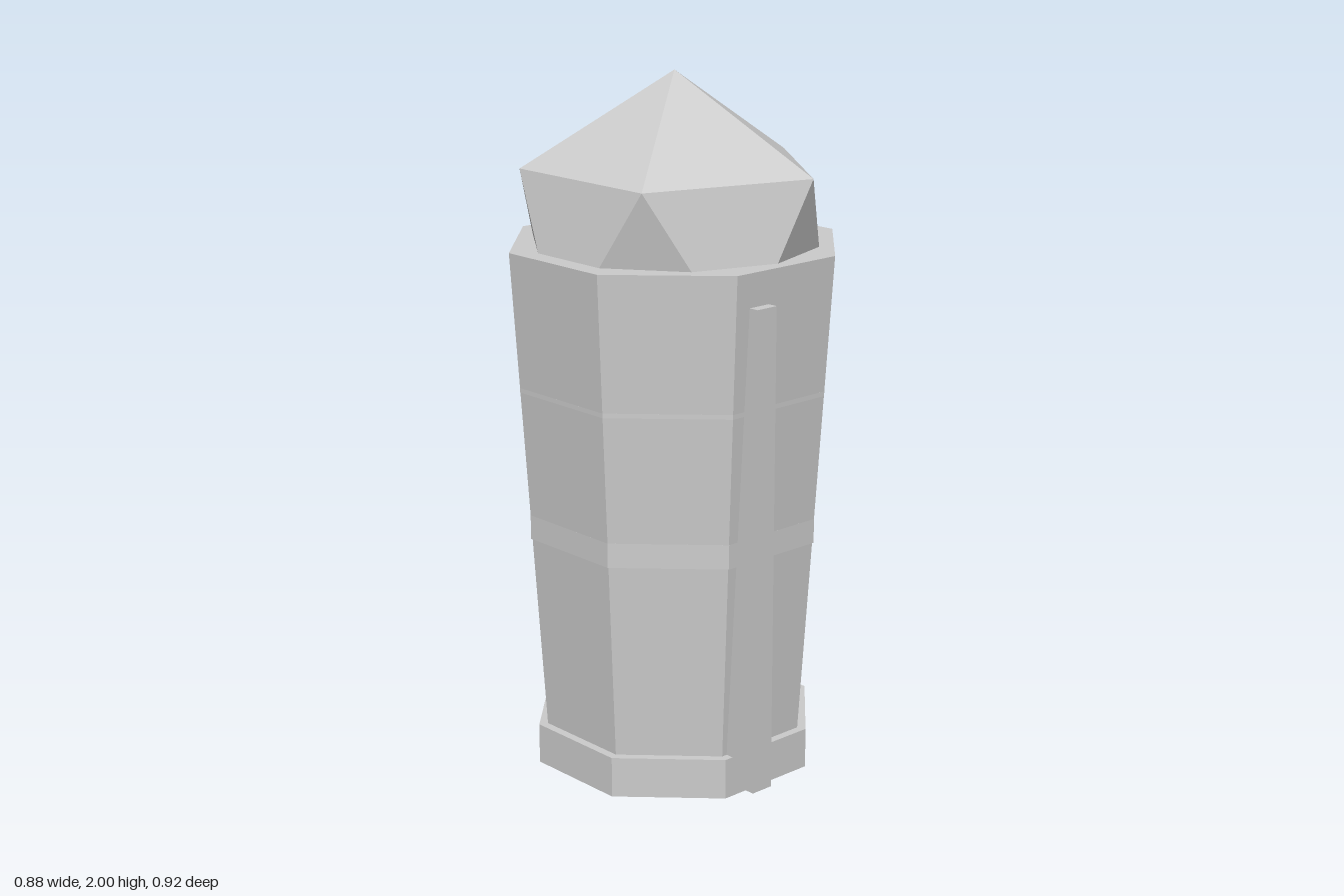
import * as THREE from 'three';
import { ConvexGeometry } from 'three/addons/geometries/ConvexGeometry.js';

const stone = new THREE.MeshStandardMaterial({ color: 0xcccccc });
stone.name = 'pale grey';
const AXIS_Z = -0.008; // the tower axis sits slightly behind the middle

function add(group, name, geometry, x, y, z) {
  const mesh = new THREE.Mesh(geometry, stone);
  mesh.name = name;
  mesh.position.set(x, y, z);
  group.add(mesh);
}

// Flat-sided octagonal prism; sizes are half-widths across the flats
function octagon(group, name, topHalf, bottomHalf, y0, y1) {
  const k = 1 / Math.cos(Math.PI / 8);
  const geometry = new THREE.CylinderGeometry(topHalf * k, bottomHalf * k, y1 - y0, 8)
    .rotateY(Math.PI / 8).toNonIndexed();
  geometry.computeVertexNormals();
  add(group, name, geometry, 0, (y0 + y1) / 2, AXIS_Z);
}

// Upright rail given by its limits
function rail(group, name, x0, x1, y0, y1, z0, z1) {
  add(group, name, new THREE.BoxGeometry(x1 - x0, y1 - y0, z1 - z0),
    (x0 + x1) / 2, (y0 + y1) / 2, (z0 + z1) / 2);
}

export function createModel() {
  const group = new THREE.Group();
  group.name = 'tower';

  // Flared shaft, plinth and two bands barely proud of the walls
  octagon(group, 'shaft', 0.442, 0.352, 0, 1.525);
  octagon(group, 'plinth', 0.384, 0.384, 0.015, 0.132);
  octagon(group, 'lowerBand', 0.3975, 0.3975, 0.7, 0.77);
  octagon(group, 'upperBand', 0.4195, 0.4195, 1.13, 1.143);

  // Rails sunk into the front and back walls
  rail(group, 'frontRail', -0.132, -0.062, 0.05, 1.43, 0.33, 0.458);
  rail(group, 'backRail', 0.035, 0.105, 0.05, 1.48, -0.462, -0.34);

  // Icosahedral crown standing on a point, half sunk into the shaft
  const R = 0.477;
  const points = [new THREE.Vector3(0, R, 0), new THREE.Vector3(0, -R, 0)];
  for (let i = 0; i < 10; i++) {
    const a = i * Math.PI / 5;
    const r = R * 2 / Math.sqrt(5);
    points.push(new THREE.Vector3(
      r * Math.cos(a), (i % 2 ? -1 : 1) * R / Math.sqrt(5), r * Math.sin(a)));
  }
  add(group, 'crown', new ConvexGeometry(points), 0, 2 - R, AXIS_Z);

  return group;
}
